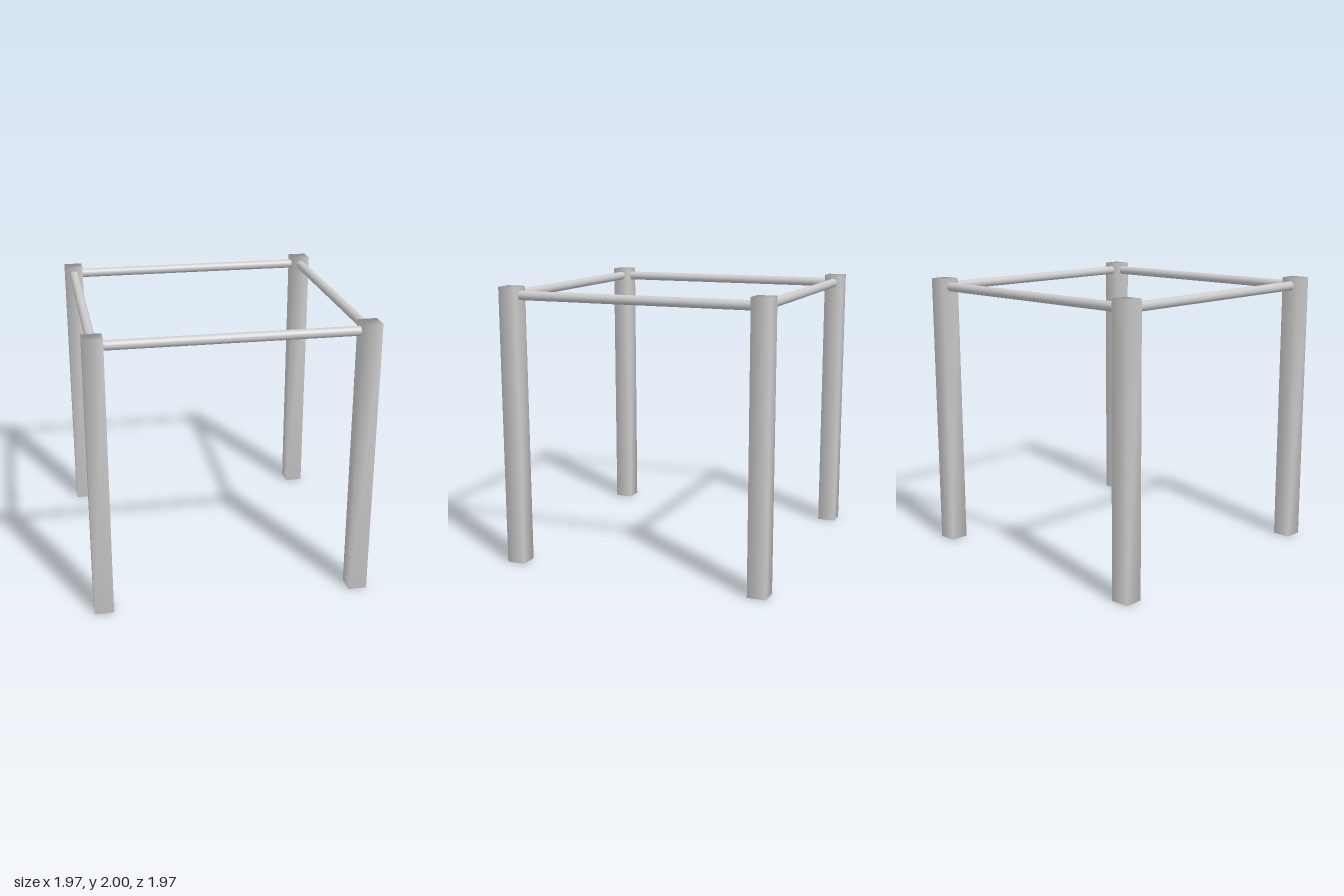
import * as THREE from 'three';
import { mergeVertices } from 'three/addons/utils/BufferGeometryUtils.js';

const LEG = 0.134;      // side of the square leg
const OFFSET = 0.917;   // leg centre from the middle
const RAIL_R = 0.033;
const RAIL_Y = 1.94;

// Box whose corners share normals, giving soft shading across the edges
function softBox(w, h, d) {
  const g = new THREE.BoxGeometry(w, h, d);
  g.deleteAttribute('normal');
  g.deleteAttribute('uv');
  const merged = mergeVertices(g);
  merged.computeVertexNormals();
  return merged;
}

export function createModel() {
  const model = new THREE.Group();
  model.name = 'tableFrame';
  const material = new THREE.MeshStandardMaterial({ color: 0xcccccc });

  const add = (name, geometry, x, y, z) => {
    const mesh = new THREE.Mesh(geometry, material);
    mesh.name = name;
    mesh.position.set(x, y, z);
    model.add(mesh);
    return mesh;
  };

  // Four square legs
  const legGeometry = softBox(LEG, 2, LEG);
  for (const x of [-1, 1]) {
    for (const z of [-1, 1]) {
      const name = (z > 0 ? 'front' : 'back') + (x > 0 ? 'Left' : 'Right') + 'Leg';
      add(name, legGeometry, x * OFFSET, 1, z * OFFSET);
    }
  }

  // Four round rails, with their ends set into the legs
  const railGeometry = new THREE.CylinderGeometry(RAIL_R, RAIL_R, 2 * OFFSET - LEG + 0.04, 24);
  for (const s of [-1, 1]) {
    add(s > 0 ? 'frontRail' : 'backRail', railGeometry, 0, RAIL_Y, s * OFFSET).rotation.z = Math.PI / 2;
    add(s > 0 ? 'leftRail' : 'rightRail', railGeometry, s * OFFSET, RAIL_Y, 0).rotation.x = Math.PI / 2;
  }

  return model;
}
